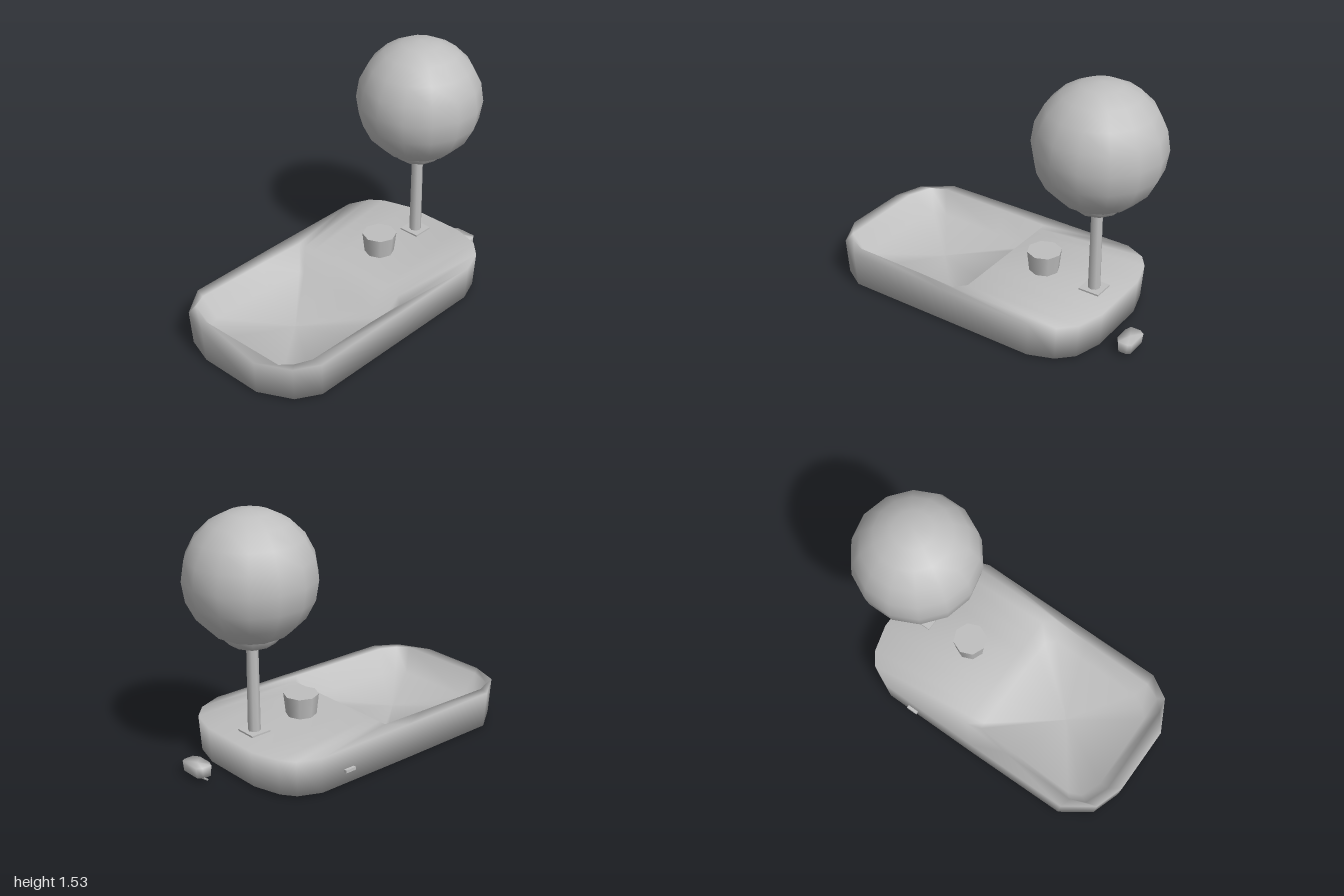
import * as THREE from 'three';

// Skin a stack of equal-length rings of [x, y, z] points with smooth normals
function loft(rings) {
  const n = rings[0].length, index = [];
  for (let i = 0; i < rings.length - 1; i++) {
    for (let j = 0; j < n; j++) {
      const k = (j + 1) % n, a = i * n + j, b = i * n + k;
      index.push(a, b, a + n, b, b + n, a + n);
    }
  }
  const geo = new THREE.BufferGeometry();
  geo.setAttribute('position', new THREE.Float32BufferAttribute(rings.flat(2), 3));
  geo.setIndex(index);
  geo.computeVertexNormals();
  return geo;
}

// Horizontal ring from [x, z] pairs, scaled about a centre x
const ring = (pts, y, s = 1, cx = 0) => pts.map(([x, z]) => [cx + (x - cx) * s, y, z * s]);

export function createModel() {
  const group = new THREE.Group();
  const grey = new THREE.MeshStandardMaterial({ color: 0xbfbfbf, side: THREE.DoubleSide });
  grey.name = 'plain grey';

  const add = (name, geo, x = 0, y = 0, z = 0) => {
    const mesh = new THREE.Mesh(geo, grey);
    mesh.name = name;
    mesh.position.set(x, y, z);
    group.add(mesh);
    return mesh;
  };

  // Tray base: rounded outline with a bowl-shaped recess on one side
  const outer = [
    [0.79, 0.2], [0.79, -0.2], [0.74, -0.37], [0.68, -0.45], [0.55, -0.51], [-0.1, -0.512],
    [-0.76, -0.507], [-0.94, -0.38], [-1, -0.2], [-1, 0.22], [-0.9, 0.42], [-0.76, 0.505],
    [-0.1, 0.51], [0.5, 0.515], [0.65, 0.46], [0.74, 0.37],
  ];
  const inner = [
    [0, 0.15], [0, -0.15], [0, -0.3], [0, -0.37], [0, -0.42], [-0.3, -0.43],
    [-0.78, -0.44], [-0.87, -0.4], [-0.93, -0.25], [-0.92, 0.33], [-0.86, 0.39], [-0.76, 0.435],
    [-0.3, 0.445], [-0.06, 0.455], [0, 0.39], [0, 0.28],
  ];
  add('trayBase', loft([
    ring(outer, 0.012, 0, -0.1),
    ring(outer, 0.012, 0.983, -0.1),
    ring(outer, 0.227),
    ring(inner, 0.227),
    ring(inner, 0.08, 0.86, -0.46),
    ring(inner, 0.06, 0, -0.46),
  ]));

  // Lamp: foot plate, post, cup and globe
  const lampX = 0.615;
  add('postFoot', new THREE.BoxGeometry(0.13, 0.012, 0.13), lampX, 0.231, 0);
  add('post', new THREE.CylinderGeometry(0.034, 0.037, 0.53, 8), lampX, 0.49, 0);
  const cup = [[0, 0.735], [0.05, 0.735], [0.13, 0.77], [0.19, 0.832], [0.15, 0.815]]
    .map(([r, y]) => new THREE.Vector2(r, y));
  add('globeCup', new THREE.LatheGeometry(cup, 10), lampX, 0, 0);
  add('globe', new THREE.SphereGeometry(0.378, 14, 10), lampX, 1.15, 0);

  // Control knob on a thin foot
  add('knobFoot', new THREE.CylinderGeometry(0.075, 0.075, 0.012, 8), 0.273, 0.231, 0);
  add('knob', new THREE.CylinderGeometry(0.104, 0.09, 0.125, 8), 0.273, 0.298, 0);

  // Loose plug beside the base, with a thin cable end beneath it
  const plug = [[0.98, 0.19], [0.98, 0.06], [0.95, 0.04], [0.89, 0.04],
    [0.875, 0.08], [0.875, 0.17], [0.9, 0.205], [0.96, 0.205]];
  add('plug', loft([
    ring(plug, 0.025, 0).map(([, y]) => [0.928, y, 0.12]),
    plug.map(([x, z]) => [0.928 + (x - 0.928) * 0.85, 0.025, z]),
    ring(plug, 0.088),
    plug.map(() => [0.928, 0.088, 0.12]),
  ]));
  const cable = new THREE.CatmullRomCurve3([
    new THREE.Vector3(0.94, 0.006, 0.15),
    new THREE.Vector3(0.94, 0.016, 0.08),
    new THREE.Vector3(0.94, 0.028, 0.01),
  ]);
  add('plugCable', new THREE.TubeGeometry(cable, 4, 0.006, 5));

  // Small cable stub on the back wall
  add('cableStub', new THREE.BoxGeometry(0.07, 0.018, 0.04), 0.35, 0.095, -0.504);

  return group;
}
